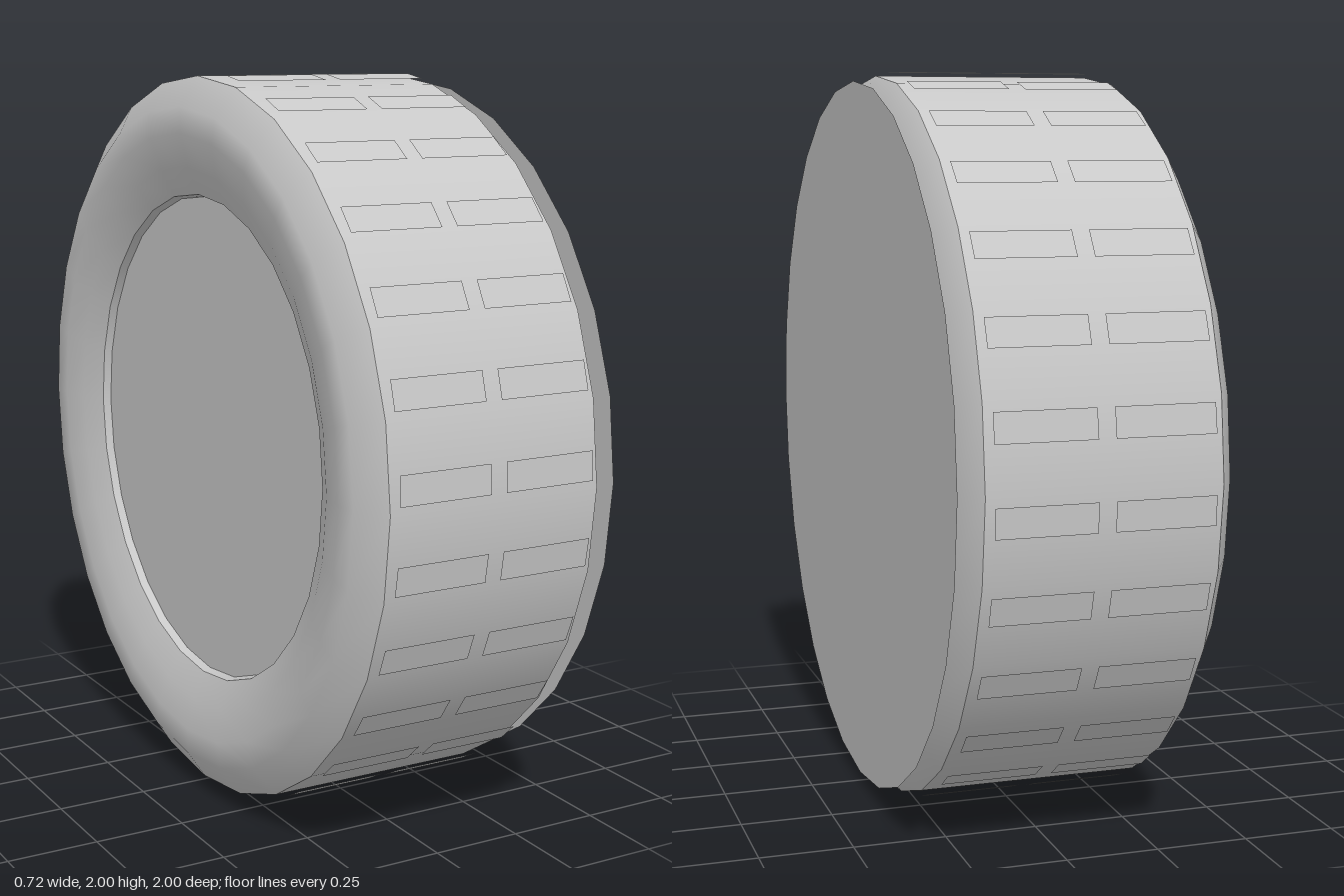
import * as THREE from 'three';

const SIDES = 28;

export function createModel() {
  const model = new THREE.Group();
  model.name = 'wheel';
  const grey = new THREE.MeshStandardMaterial({ color: 0xc8c8c8 });
  grey.name = 'light grey';
  const thinGrey = grey.clone();
  thinGrey.name = 'light grey two sided';
  thinGrey.side = THREE.DoubleSide;

  const add = (name, geometry, parent = model, material = grey) => {
    const mesh = new THREE.Mesh(geometry, material);
    mesh.name = name;
    parent.add(mesh);
    return mesh;
  };

  // Revolve [radius, offset toward -x] points around the x axle
  const revolve = (points) =>
    new THREE.LatheGeometry(points.map(([r, a]) => new THREE.Vector2(r, a)), SIDES).rotateZ(Math.PI / 2);
  const mirrored = (points) => points.map(([r, a]) => [r, -a]).reverse();

  // Tyre: tread drum with a bulging sidewall on each side
  const sidewall = [[0.99, 0.301], [0.91, 0.354], [0.84, 0.354], [0.75, 0.334], [0.675, 0.302]];
  add('tread', revolve([[0.99, -0.301], [0.99, 0.301]]));
  add('rightSidewall', revolve(sidewall));
  add('leftSidewall', revolve(mirrored(sidewall)));

  // Rim lip and recessed hub disc on the open side
  add('rimLip', revolve([[0.675, 0.302], [0.668, 0.28]]));
  add('hubDisc', new THREE.CircleGeometry(0.668, SIDES).rotateY(-Math.PI / 2).translate(-0.28, 0, 0));

  // Flat cover disc standing just outside the other sidewall
  add('coverDisc', new THREE.CircleGeometry(0.976, SIDES).rotateY(Math.PI / 2).translate(0.364, 0, 0), model, thinGrey);

  // Two rows of flat tread plates floating just above the drum
  const plates = new THREE.Group();
  plates.name = 'treadPlates';
  model.add(plates);
  for (let i = 0; i < SIDES; i++) {
    const angle = THREE.MathUtils.degToRad(3.4) + (i * Math.PI * 2) / SIDES;
    for (const side of [-1, 1]) {
      const plate = new THREE.PlaneGeometry(0.258, 0.076).translate(side * 0.151, 0, 1).rotateX(-angle);
      add('treadPlate', plate, plates);
    }
  }

  // Stand on the ground, the tyre slightly off centre to balance the cover
  model.children.forEach((part) => part.position.set(-0.005, 1, 0));
  return model;
}
